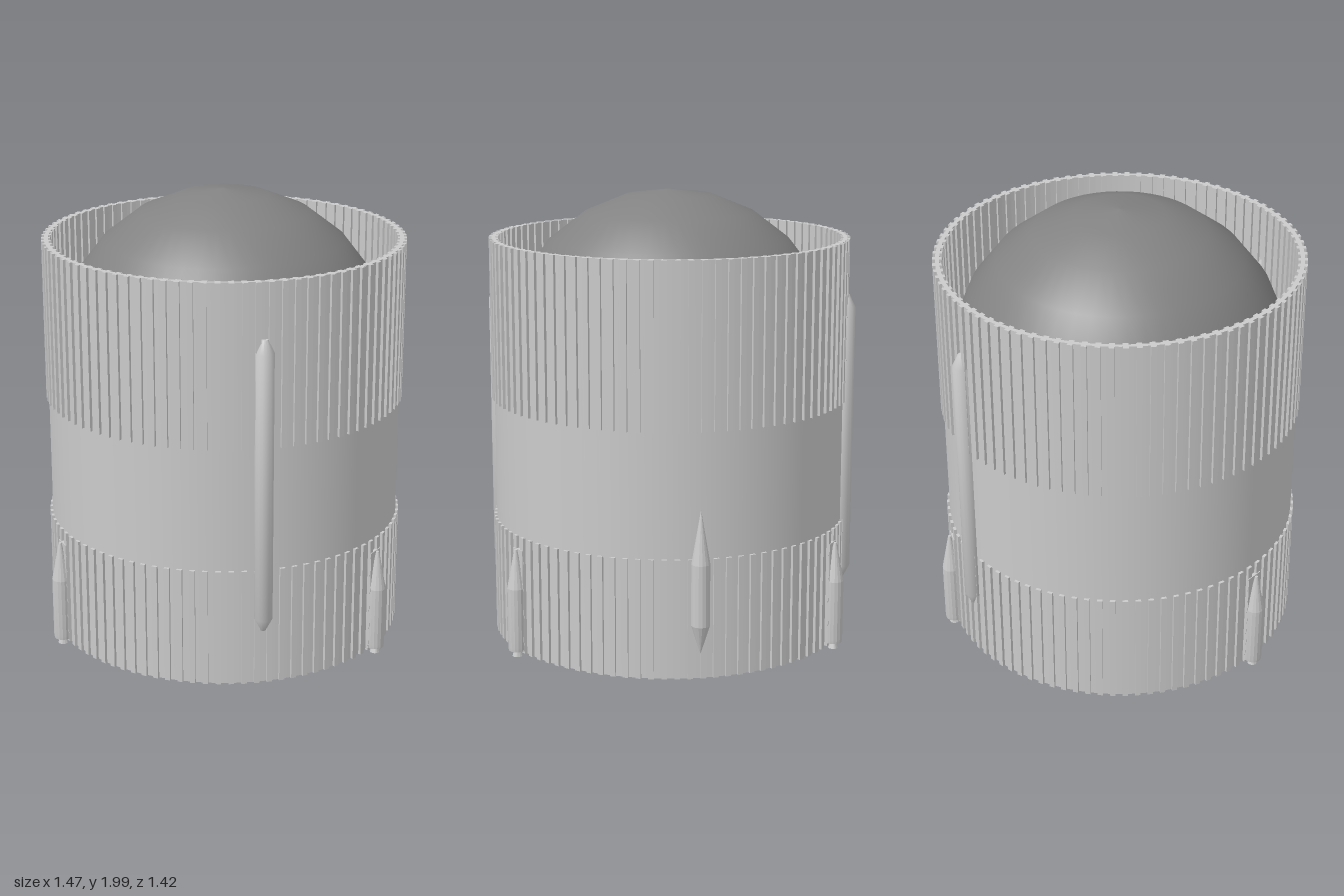
import * as THREE from 'three';
import { mergeGeometries, toCreasedNormals } from 'three/addons/utils/BufferGeometryUtils.js';

const AXIS_X = -0.025;   // tank axis, offset by the side pod
const BOTTOM = 0.225, TOP = 1.815;
const RIBS = 90;

const hull = new THREE.MeshStandardMaterial({ color: 0xcacaca });
hull.name = 'light grey hull';
const tankGrey = new THREE.MeshStandardMaterial({ color: 0x828282 });
tankGrey.name = 'dark grey tank';

function add(parent, name, geometry, material = hull) {
  const mesh = new THREE.Mesh(geometry, material);
  mesh.name = name;
  parent.add(mesh);
  return mesh;
}

// Turned solid from [radius, y] pairs, listed bottom to top
function turned(points, sides, crease = 0.7) {
  const profile = points.map(([r, y]) => new THREE.Vector2(r, y));
  return toCreasedNormals(new THREE.LatheGeometry(profile, sides), crease);
}

// Ring of vertical stringers that pass through the wall
function ribRing(y0, y1) {
  const ribs = [];
  for (let i = 0; i < RIBS; i++) {
    const rib = new THREE.BoxGeometry(0.036, y1 - y0, 0.021);
    rib.translate(0.693, (y0 + y1) / 2, 0);
    rib.rotateY(((i + 0.5) / RIBS) * Math.PI * 2);
    ribs.push(rib);
  }
  return mergeGeometries(ribs);
}

// Group placed on the wall at an angle from +x towards +z
function mount(parent, name, degrees, radius) {
  const a = THREE.MathUtils.degToRad(degrees);
  const group = new THREE.Group();
  group.name = name;
  group.position.set(radius * Math.cos(a), 0, radius * Math.sin(a));
  group.rotation.y = -a;
  parent.add(group);
  return group;
}

export function createModel() {
  const model = new THREE.Group();
  model.name = 'interstage';
  const body = new THREE.Group();
  body.name = 'body';
  body.position.x = AXIS_X;
  model.add(body);

  // Thin open-ended wall
  const ring = new THREE.Shape().absarc(0, 0, 0.7, 0, Math.PI * 2, false);
  ring.holes.push(new THREE.Path().absarc(0, 0, 0.684, 0, Math.PI * 2, true));
  const wall = new THREE.ExtrudeGeometry(ring, { depth: TOP - BOTTOM, bevelEnabled: false, curveSegments: 72 });
  wall.rotateX(-Math.PI / 2);
  wall.translate(0, BOTTOM, 0);
  add(body, 'wall', toCreasedNormals(wall, 0.5));

  // Stringers above and below the plain band
  add(body, 'upperRibs', ribRing(1.18, TOP));
  add(body, 'lowerRibs', ribRing(BOTTOM, 0.695));

  // Inner tank with a dome at each end
  const R = 0.67, low = 0.01 + R, high = 2 - R, tank = [];
  for (let i = 0; i <= 6; i++) {
    const a = (i / 12) * Math.PI;
    tank.push([R * Math.sin(a), low - R * Math.cos(a)]);
  }
  for (let i = 6; i >= 0; i--) {
    const a = (i / 12) * Math.PI;
    tank.push([R * Math.sin(a), high + R * Math.cos(a)]);
  }
  const tankGeometry = new THREE.LatheGeometry(tank.map(([r, y]) => new THREE.Vector2(Math.max(r, 0), y)), 48);
  add(body, 'tank', tankGeometry, tankGrey);

  // Two long conduits on opposite sides
  for (const degrees of [44, 224]) {
    const conduit = mount(body, 'conduit', degrees, 0.703);
    add(conduit, 'conduitPipe', turned(
      [[0, 0.445], [0.01, 0.445], [0.036, 0.495], [0.036, 1.55], [0.012, 1.6], [0, 1.6]], 16));
  }

  // Three small motors, evenly spaced
  for (const degrees of [0, 120, 240]) {
    const motor = mount(body, 'motor', degrees, 0.723);
    add(motor, 'motorCase', turned(
      [[0, 0.235], [0.034, 0.235], [0.036, 0.25], [0.036, 0.49], [0.006, 0.645], [0, 0.645]], 16, 0.15));
    add(motor, 'motorNozzle', turned([[0, 0.21], [0.02, 0.21], [0.012, 0.24], [0, 0.24]], 12));
    const plate = add(motor, 'motorPlate', new THREE.BoxGeometry(0.03, 0.41, 0.07));
    plate.position.set(-0.024, 0.44, 0);
  }

  // Spindle-shaped pod at the back
  const pod = mount(body, 'pod', -65, 0.715);
  add(pod, 'podShell', turned([[0, 0.325], [0.036, 0.44], [0.036, 0.68], [0, 0.89]], 16, 0.15));

  return model;
}
